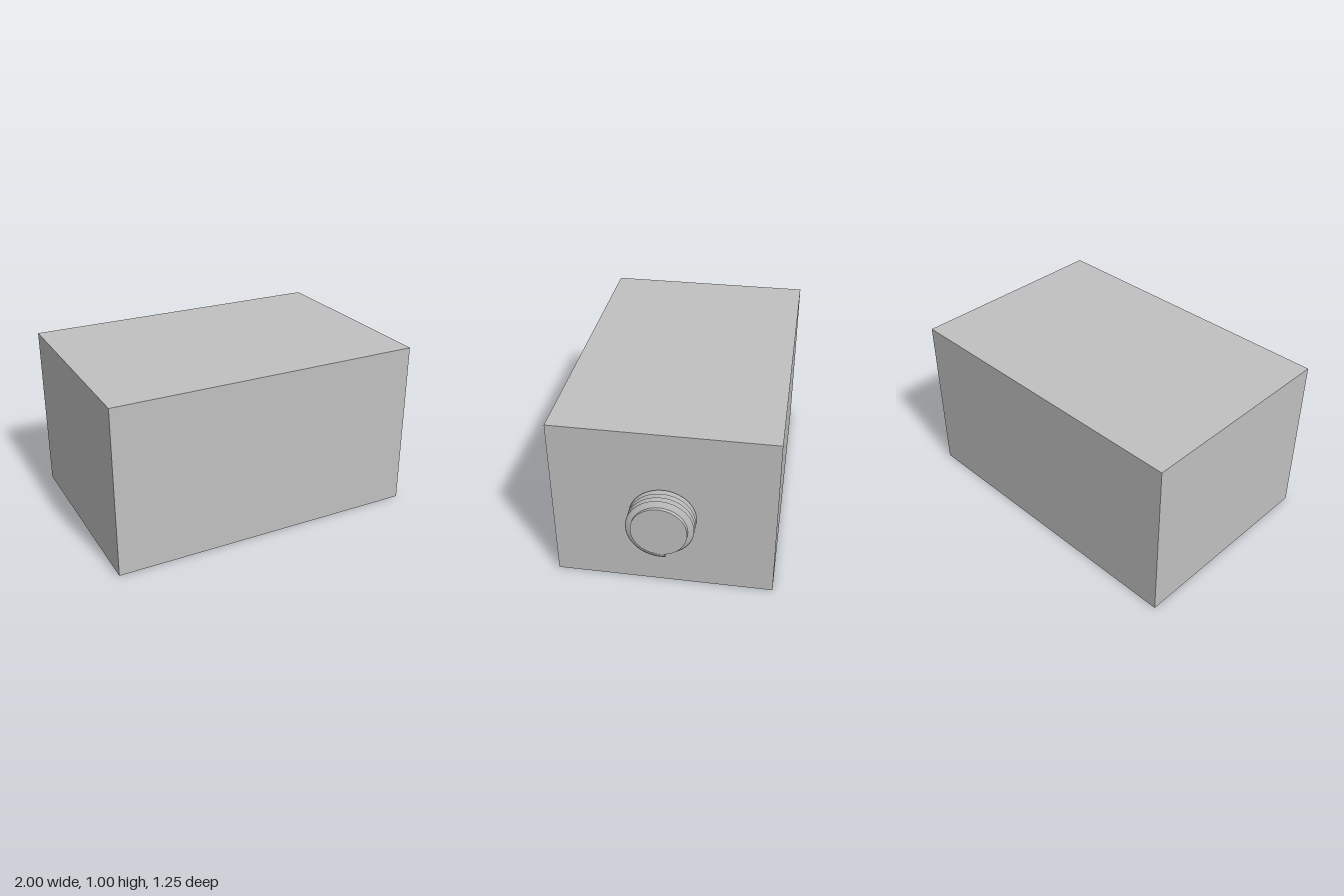
import * as THREE from 'three';

const AXIS_Y = 0.467, FACE_X = 0.86, STUD_R = 0.155;

// Right-handed ridge wound around the x axis, closed at its free end
function threadGeometry(turns, pitch, endX, endAngle) {
  // Ridge section as [offset along x, radius]
  const section = [[-0.0155, 0.153], [-0.006, 0.177], [0, 0.187], [0.006, 0.177], [0.0155, 0.153]];
  const n = section.length, steps = turns * 64;
  const positions = [], indices = [];
  const addSection = (i) => {
    const back = (1 - i / steps) * turns;
    const a = endAngle - back * Math.PI * 2;
    for (const [dx, r] of section) {
      positions.push(endX - back * pitch + dx, -r * Math.cos(a), -r * Math.sin(a));
    }
  };
  for (let i = 0; i <= steps; i++) {
    addSection(i);
    if (i === steps) break;
    for (let j = 0; j < n - 1; j++) {
      const a = i * n + j, b = a + n;
      indices.push(a, b, a + 1, a + 1, b, b + 1);
    }
  }
  // End cap has its own vertices so its edge stays sharp
  const cap = positions.length / 3;
  addSection(steps);
  for (let j = 1; j < n - 1; j++) indices.push(cap, cap + j + 1, cap + j);

  const geometry = new THREE.BufferGeometry();
  geometry.setAttribute('position', new THREE.Float32BufferAttribute(positions, 3));
  geometry.setIndex(indices);
  geometry.computeVertexNormals();
  return geometry;
}

export function createModel() {
  const model = new THREE.Group();
  model.name = 'blockWithThreadedStud';
  const grey = new THREE.MeshStandardMaterial({ color: 0xc0c0c0 });
  grey.name = 'plain grey';

  const add = (name, geometry, x, y) => {
    const mesh = new THREE.Mesh(geometry, grey);
    mesh.name = name;
    mesh.position.set(x, y, 0);
    model.add(mesh);
  };

  // Solid block
  add('block', new THREE.BoxGeometry(FACE_X + 1, 1, 1.245), (FACE_X - 1) / 2, 0.5);

  // Stud standing out of the block's left side
  const studLength = 1 - FACE_X;
  const stud = new THREE.CylinderGeometry(STUD_R, STUD_R, studLength, 64).rotateZ(-Math.PI / 2);
  add('stud', stud, FACE_X + studLength / 2, AXIS_Y);

  // Screw thread around the stud
  add('thread', threadGeometry(4, 0.0315, 0.984, 0.18), 0, AXIS_Y);

  return model;
}
